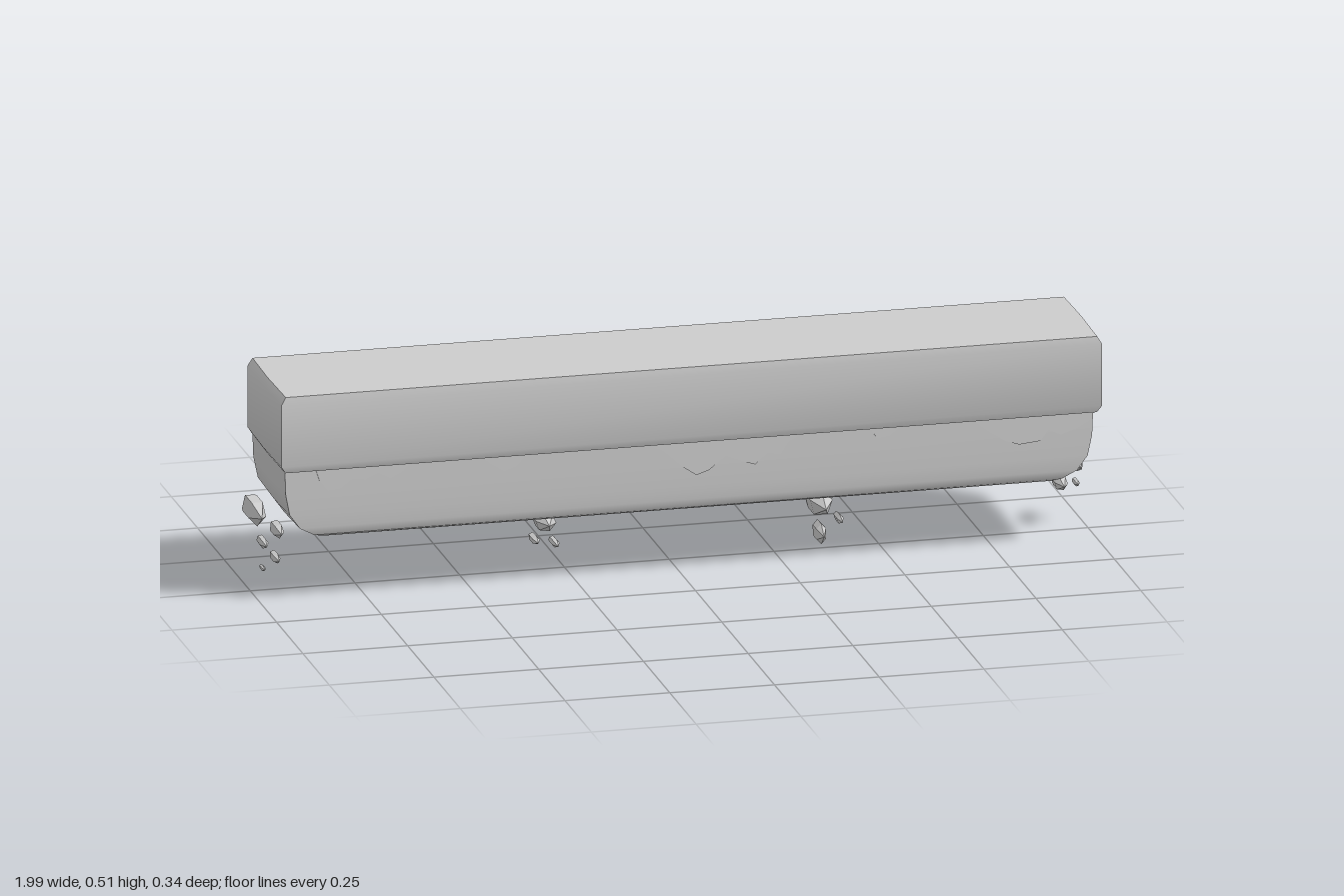
import * as THREE from 'three';
import { toCreasedNormals } from 'three/addons/utils/BufferGeometryUtils.js';

const grey = new THREE.MeshStandardMaterial({ color: 0xcccccc });
const rockGrey = new THREE.MeshStandardMaterial({ color: 0xcccccc, flatShading: true });

// Stack of six-cornered plan sections whose ends come to a slight ridge at z = 0.
// Each level is [y, end inset, front z, back z].
function loft(levels, left, right, ridge, crease) {
  const pos = [];
  const rings = levels.map(([y, inset, front, back]) => {
    const a = left + inset, b = right - inset;
    return [[a, front], [b, front], [b + ridge, 0], [b, back], [a, back], [a - ridge, 0]]
      .map(([x, z]) => [x, y, z]);
  });
  const tri = (...p) => p.forEach((v) => pos.push(...v));
  const n = 6, last = rings.length - 1;
  for (let l = 0; l < last; l++) {
    for (let i = 0; i < n; i++) {
      const j = (i + 1) % n, lo = rings[l], hi = rings[l + 1];
      tri(lo[i], lo[j], hi[j]);
      tri(lo[i], hi[j], hi[i]);
    }
  }
  for (let i = 1; i < n - 1; i++) {
    tri(rings[last][0], rings[last][i], rings[last][i + 1]);
    tri(rings[0][0], rings[0][i + 1], rings[0][i]);
  }
  const geo = new THREE.BufferGeometry();
  geo.setAttribute('position', new THREE.Float32BufferAttribute(pos, 3));
  return toCreasedNormals(geo, crease);
}

export function createModel() {
  const model = new THREE.Group();
  model.name = 'floatingPlatform';
  const add = (name, geo, material = grey, parent = model) => {
    const mesh = new THREE.Mesh(geo, material);
    mesh.name = name;
    parent.add(mesh);
    return mesh;
  };

  // Top slab with narrow bevels
  add('topSlab', loft([
    [0.33, 0.014, 0.158, -0.152],
    [0.347, 0.003, 0.165, -0.156],
    [0.497, 0.003, 0.165, -0.156],
    [0.515, 0.014, 0.162, -0.154],
  ], -0.97, 0.995, 0.003, 0.9));

  // Lower body, rounded in towards its underside
  add('lowerBody', loft([
    [0.16, 0.1, 0.122, -0.155],
    [0.166, 0.075, 0.13, -0.158],
    [0.185, 0.04, 0.134, -0.163],
    [0.22, 0.015, 0.136, -0.167],
    [0.27, 0.005, 0.138, -0.17],
    [0.4, 0, 0.139, -0.17],
  ], -0.955, 0.98, 0.004, 0.9));

  // Drips hanging from the slab over the front
  const drips = [
    [[-0.88, 0.33], [-0.87, 0.3], [-0.85, 0.275], [-0.82, 0.278], [-0.79, 0.3], [-0.76, 0.295],
      [-0.73, 0.31], [-0.7, 0.293], [-0.67, 0.31], [-0.65, 0.335]],
    [[-0.49, 0.335], [-0.46, 0.31], [-0.43, 0.29], [-0.4, 0.3], [-0.37, 0.335]],
    [[-0.1, 0.335], [-0.05, 0.31], [0, 0.265], [0.03, 0.245], [0.06, 0.255], [0.1, 0.287],
      [0.14, 0.27], [0.17, 0.26], [0.2, 0.287], [0.23, 0.28], [0.25, 0.31], [0.3, 0.335]],
    [[0.44, 0.335], [0.46, 0.302], [0.49, 0.305], [0.53, 0.335]],
    [[0.68, 0.335], [0.73, 0.295], [0.77, 0.27], [0.8, 0.26], [0.85, 0.265], [0.87, 0.29],
      [0.9, 0.277], [0.94, 0.29], [0.97, 0.307], [0.982, 0.335]],
  ];
  const dripGroup = new THREE.Group();
  dripGroup.name = 'drips';
  model.add(dripGroup);
  drips.forEach((edge) => {
    const points = edge.map(([x, y]) => new THREE.Vector2(x, y));
    points.push(new THREE.Vector2(edge.at(-1)[0], 0.345), new THREE.Vector2(edge[0][0], 0.345));
    const geo = new THREE.ExtrudeGeometry(new THREE.Shape(points), { depth: 0.02, bevelEnabled: false });
    add('drip', geo.translate(0, 0, 0.121), grey, dripGroup);
  });

  // Loose rock shards below: [x, y, half width, half height, back z, tip z]
  const shards = [
    [-0.978, 0.18, 0.022, 0.032, -0.092, 0.025],
    [-0.96, 0.103, 0.01, 0.012, -0.065, 0],
    [-0.925, 0.13, 0.013, 0.018, -0.07, 0],
    [-0.96, 0.04, 0.005, 0.006, -0.055, -0.02],
    [-0.93, 0.064, 0.009, 0.012, -0.065, -0.003],
    [-0.288, 0.105, 0.025, 0.024, -0.075, 0.01],
    [-0.312, 0.062, 0.01, 0.01, -0.063, 0],
    [-0.264, 0.05, 0.009, 0.009, -0.065, 0],
    [0.368, 0.1, 0.028, 0.031, -0.092, 0.028],
    [0.37, 0.025, 0.013, 0.025, -0.068, 0],
    [0.415, 0.057, 0.008, 0.011, -0.063, 0],
    [0.942, 0.105, 0.016, 0.018, -0.072, 0.008],
    [0.985, 0.143, 0.011, 0.015, -0.06, -0.01],
    [0.981, 0.1, 0.007, 0.008, -0.055, -0.015],
  ];
  const profile = [[0, 0], [0.9, 0], [1, 0.15], [1, 0.6], [0, 1]].map(([r, h]) => new THREE.Vector2(r, h));
  const shardGroup = new THREE.Group();
  shardGroup.name = 'rockShards';
  model.add(shardGroup);
  shards.forEach(([x, y, w, h, back, tip], i) => {
    const geo = new THREE.LatheGeometry(profile, 5 + (i % 2));
    geo.rotateX(Math.PI / 2).rotateZ(i * 0.7).scale(w, h, tip - back);
    add('rockShard', geo, rockGrey, shardGroup).position.set(x, y, back);
  });

  return model;
}
